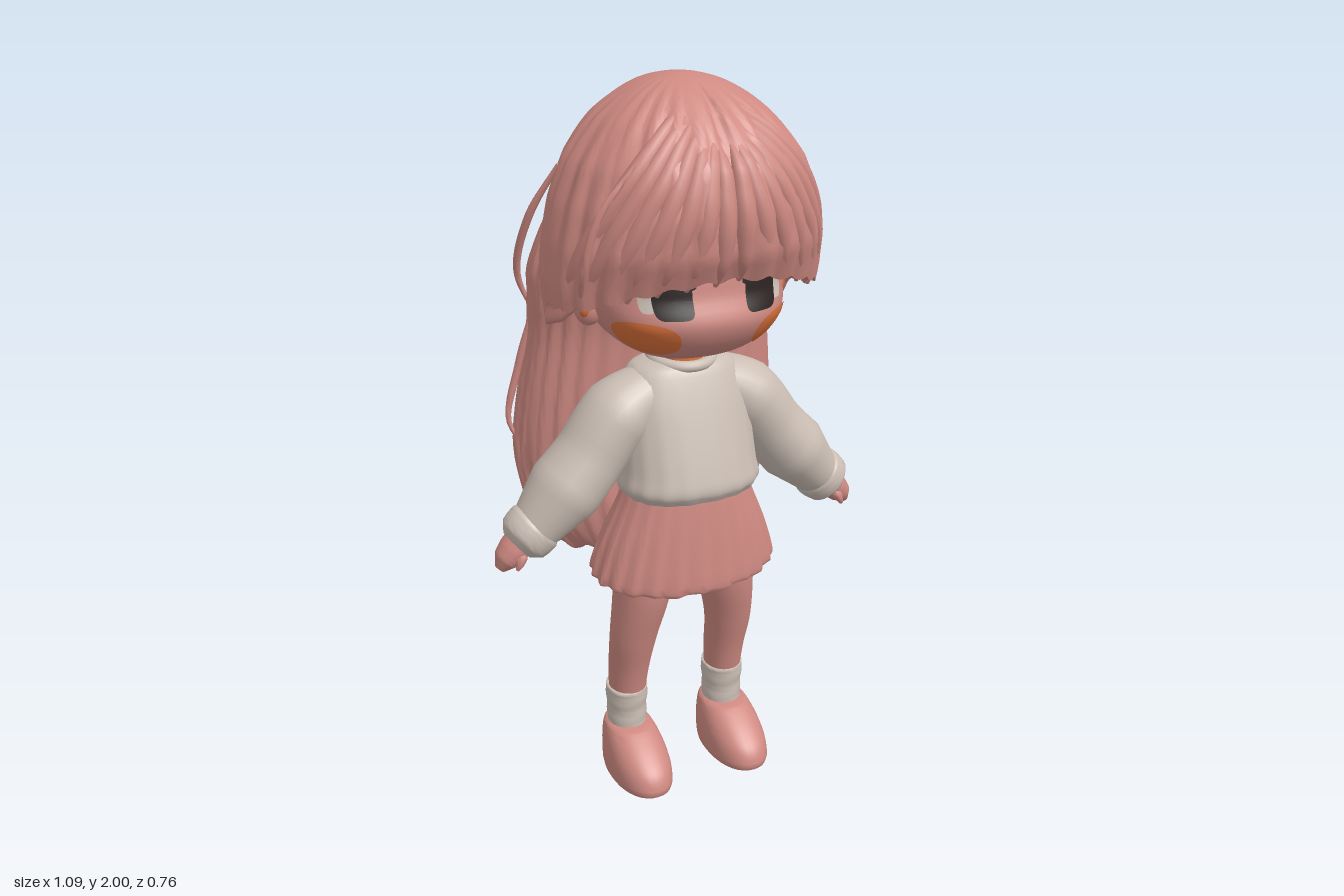
import * as THREE from 'three';
import { toCreasedNormals } from 'three/addons/utils/BufferGeometryUtils.js';

const mat = (name, color) => {
  const m = new THREE.MeshStandardMaterial({ color });
  m.name = name;
  return m;
};
const V = (x, y, z) => new THREE.Vector3(x, y, z);
const { lerp, smoothstep, degToRad } = THREE.MathUtils;

// Closed skin over a list of equal rings, with both ends filled
function skin(rings, crease = 0.9) {
  const n = rings[0].length, pos = [], idx = [];
  rings.forEach(r => r.forEach(p => pos.push(p.x, p.y, p.z)));
  for (let i = 0; i < rings.length - 1; i++) for (let j = 0; j < n; j++) {
    const a = i * n + j, b = i * n + (j + 1) % n;
    idx.push(a, b, a + n, b, b + n, a + n);
  }
  [0, rings.length - 1].forEach((i, end) => {
    const c = rings[i].reduce((s, p) => s.add(p), V(0, 0, 0)).divideScalar(n);
    const k = pos.length / 3;
    pos.push(c.x, c.y, c.z);
    for (let j = 0; j < n; j++) {
      const a = i * n + j, b = i * n + (j + 1) % n;
      idx.push(k, ...(end ? [a, b] : [b, a]));
    }
  });
  const g = new THREE.BufferGeometry();
  g.setAttribute('position', new THREE.Float32BufferAttribute(pos, 3));
  g.setIndex(idx);
  return toCreasedNormals(g, crease);
}

// Upright form from rows [y, centreX, halfWidth, zFront, zBack], top to bottom
function loft(rows, { seg = 32, steps = 24, power = 1, ridge = () => 1, lift = () => 0 } = {}) {
  const c1 = new THREE.CatmullRomCurve3(rows.map(r => V(r[0], r[1], r[2])), false, 'catmullrom');
  const c2 = new THREE.CatmullRomCurve3(rows.map(r => V(r[0], r[3], r[4])), false, 'catmullrom');
  const bend = v => Math.sign(v) * Math.abs(v) ** power;
  const rings = [];
  for (let i = 0; i <= steps; i++) {
    const t = i / steps, a = c1.getPoint(t), b = c2.getPoint(t), ring = [];
    for (let j = 0; j < seg; j++) {
      const th = j / seg * Math.PI * 2, k = ridge(th, t);
      ring.push(V(a.y + a.z * bend(Math.cos(th)) * k, a.x + lift(th, t), (b.y + b.z) / 2 + (b.y - b.z) / 2 * bend(Math.sin(th)) * k));
    }
    rings.push(ring);
  }
  return skin(rings);
}

// Tube with a changing radius along a path
function limb(points, radii, { seg = 16, steps = 20, zScale = 1 } = {}) {
  const curve = new THREE.CatmullRomCurve3(points), f = curve.computeFrenetFrames(steps);
  const rings = [];
  for (let i = 0; i <= steps; i++) {
    const t = i / steps, q = t * (radii.length - 1), k = Math.min(Math.floor(q), radii.length - 2);
    const r = lerp(radii[k], radii[k + 1], q - k), p = curve.getPointAt(t), ring = [];
    for (let j = 0; j < seg; j++) {
      const th = j / seg * Math.PI * 2;
      const d = f.normals[i].clone().multiplyScalar(Math.cos(th) * r).addScaledVector(f.binormals[i], Math.sin(th) * r);
      d.z *= zScale;
      ring.push(p.clone().add(d));
    }
    rings.push(ring);
  }
  return skin(rings);
}

// Head: rounded-square ellipsoid, chin pushed forward and eye line set back
const HEAD = { y: 1.52, z: 0.05, a: 0.27, b: 0.235, c: 0.25, n: 2.4 };
function headPoint(az, y, off = 0) {
  const { a, b, c, n } = HEAD, s = Math.sin(az), k = Math.cos(az);
  const dy = Math.min(1, Math.abs((y - HEAD.y) / b));
  const r = (1 - dy ** n) ** (1 / n) / ((Math.abs(s) / a) ** n + (Math.abs(k) / c) ** n) ** (1 / n) + off;
  return V(r * s, y, HEAD.z + r * k + (HEAD.y - y) * 0.15 - 0.03 * smoothstep(y, 1.4, 1.49));
}
function facePatch(azMid, azHalf, y, yHalf, power, off) {
  const g = new THREE.RingGeometry(0.001, 1, 40, 8), p = g.attributes.position;
  for (let i = 0; i < p.count; i++) {
    const u = p.getX(i), v = p.getY(i), r = Math.hypot(u, v);
    const k = r / (Math.abs(u) ** power + Math.abs(v) ** power) ** (1 / power);
    const q = headPoint(degToRad(azMid + azHalf * u * k), y + yHalf * v * k, off);
    p.setXYZ(i, q.x, q.y, q.z);
  }
  g.computeVertexNormals();
  return g;
}

// Hair cap rows: depth below the crown, reach to the side, front and back
const CAP = [[0, 0, 0, 0], [0.02, 0.1, 0.1, 0.13], [0.1, 0.22, 0.215, 0.24], [0.2, 0.295, 0.295, 0.295],
  [0.3, 0.335, 0.32, 0.325], [0.4, 0.358, 0.315, 0.333], [0.5, 0.368, 0.265, 0.328], [0.58, 0.36, 0.24, 0.31], [0.8, 0.34, 0.2, 0.28]];
function capPoint(th, y, off = 0) {
  const d = Math.max(0, 2 - y);
  let i = 0;
  while (i < CAP.length - 2 && CAP[i + 1][0] < d) i++;
  const A = CAP[i], B = CAP[i + 1];
  const t = (Math.sqrt(d) - Math.sqrt(A[0])) / (Math.sqrt(B[0]) - Math.sqrt(A[0]));
  const [w, f, b] = [1, 2, 3].map(k => lerp(A[k], B[k], t) + off);
  const c = Math.cos(th), s = Math.sin(th);
  return V(w * c, y, 0.05 + (s > 0 ? f * s ** 0.85 : b * s));
}
function rimHeight(th) {
  const s = Math.sin(th), c = Math.cos(th);
  return lerp(1.36, 1.535 - 0.09 * c * c, smoothstep(s, -0.3, -0.02)) + 0.006 * Math.sin(th * 26);
}
function hairCap() {
  const rings = [], seg = 240, steps = 36;
  const ring = fn => Array.from({ length: seg }, (_, j) => fn(j / seg * Math.PI * 2));
  for (let i = 0; i <= steps; i++) {
    const t = Math.max(i / steps, 0.02);
    rings.push(ring(th => {
      const y = 2 - (2 - rimHeight(th)) * t ** 1.7;
      const wave = 0.007 * Math.abs(Math.sin(th * 14 + 2 * t)) + 0.003 * Math.sin(th * 23 - 4 * t);
      const part = Math.sin(th) > 0 ? 0.02 * Math.exp(-((Math.cos(th) / 0.07) ** 2)) : 0;
      return capPoint(th, y, (wave - part) * Math.min(1, t * 2.5));
    }));
  }
  // underside turned inward, towards the head
  rings.push(ring(th => capPoint(th, rimHeight(th) + 0.005, -0.035)));
  rings.push(ring(th => capPoint(th, rimHeight(th) + 0.06, -0.12)));
  return skin(rings);
}

export function createModel() {
  const model = new THREE.Group();
  const pink = mat('dusty pink', 0xcf8a82), beige = mat('warm beige', 0xcbbeb4);
  const orange = mat('blush orange', 0xda703a), dark = mat('eye dark', 0x2b2322);
  const add = (name, geometry, material) => {
    const m = new THREE.Mesh(geometry, material);
    m.name = name;
    model.add(m);
  };

  // Head and neck
  const head = new THREE.SphereGeometry(1, 48, 40), hp = head.attributes.position;
  for (let i = 0; i < hp.count; i++) {
    const q = headPoint(Math.atan2(hp.getX(i), hp.getZ(i)), HEAD.y + HEAD.b * hp.getY(i));
    hp.setXYZ(i, q.x, q.y, q.z);
  }
  head.computeVertexNormals();
  add('head', head, pink);
  add('neck', new THREE.CylinderGeometry(0.06, 0.068, 0.14, 24).translate(0, 1.27, 0.06), orange);

  // Hair
  add('hairCap', hairCap(), pink);
  add('backHair', loft([[1.85, 0, 0.1, 0.03, -0.13], [1.7, 0, 0.26, 0.06, -0.245], [1.52, 0, 0.345, 0.05, -0.287], [1.42, 0, 0.352, 0.04, -0.295],
    [1.3, 0, 0.352, 0.01, -0.308], [1.1, 0, 0.378, -0.005, -0.35], [0.95, 0, 0.385, -0.015, -0.373], [0.8, 0, 0.358, -0.015, -0.365],
    [0.7, 0, 0.305, -0.035, -0.325], [0.66, 0, 0.25, -0.06, -0.285], [0.72, 0, 0.18, -0.09, -0.24]], {
    seg: 240, steps: 50, power: 0.95,
    ridge: (th, t) => 1 + 0.02 * Math.abs(Math.sin(th * 17 + 1.5 * t)) + 0.008 * Math.sin(th * 29 - 3 * t),
    lift: (th, t) => t > 0.75 ? 0.014 * Math.sin(th * 13) * (t - 0.75) * 4 : 0,
  }), pink);
  for (let i = 0; i < 25; i++) {
    const th = Math.PI * (1 + i / 24), c = Math.cos(th), s = Math.sin(th), tip = 0.665 + 0.02 * Math.sin(i * 2.3);
    add('hairTip', limb([V(0.35 * c, 1.0, -0.19 + 0.155 * s), V(0.335 * c, 0.82, -0.19 + 0.155 * s), V(0.28 * c, tip, -0.18 + 0.12 * s)],
      [0.006, 0.02, 0.025, 0.022, 0.008], { seg: 8, steps: 10 }), pink);
  }
  add('looseFringe', limb([V(-0.22, 1.82, 0.26), V(-0.31, 1.7, 0.25), V(-0.34, 1.56, 0.22), V(-0.32, 1.45, 0.15)],
    [0.006, 0.011, 0.011, 0.004], { seg: 8 }), pink);
  for (const s of [-1, 1]) {
    // fringe locks swept from the parting
    [5, 17, 29, 42, 55, 68, 82].forEach((deg, i) => {
      const pts = [];
      for (let k = 0; k <= 6; k++) {
        const t = k / 6, th = Math.PI / 2 - s * degToRad(lerp(4 + i * 2, deg, t ** 0.65));
        pts.push(capPoint(th, lerp(1.86 + i * 0.016, rimHeight(th) - 0.008, t), -0.013));
      }
      add('fringeLock', limb(pts, [0.006, 0.022, 0.027, 0.027, 0.022, 0.006], { seg: 10 }), pink);
    });
    // loose strands
    [[[0.3, 1.78, -0.03], [0.36, 1.64, -0.1], [0.375, 1.48, -0.17], [0.33, 1.36, -0.19]],
      [[0.33, 1.4, -0.16], [0.375, 1.2, -0.2], [0.405, 1.05, -0.21], [0.38, 0.98, -0.2]],
    ].forEach(p => add('looseStrand', limb(p.map(([x, y, z]) => V(s * x, y, z)), [0.006, 0.011, 0.011, 0.004], { seg: 8 }), pink));

    // Face
    add('eye', facePatch(s * 27.5, 11, 1.48, 0.047, 5, 0.004), dark);
    add('eyeWhite', facePatch(s * 42, 4, 1.478, 0.028, 4, 0.003), beige);
    add('upperLash', facePatch(s * 32, 18, 1.515, 0.015, 3, 0.007), dark);
    add('blush', facePatch(s * 50, 23, 1.378, 0.048, 2.4, 0.003), orange);
    add('ear', new THREE.SphereGeometry(1, 20, 14).scale(0.04, 0.05, 0.035).translate(s * 0.262, 1.43, 0.055), pink);
    add('innerEar', new THREE.SphereGeometry(1, 16, 12).scale(0.018, 0.028, 0.016).translate(s * 0.28, 1.435, 0.074), orange);

    // Arms
    add('sleeve', limb([[0.08, 1.195], [0.19, 1.125], [0.285, 1.005], [0.38, 0.9], [0.43, 0.845]].map(([x, y]) => V(s * x, y, 0.06)),
      [0.07, 0.098, 0.094, 0.1, 0.07], { seg: 24, zScale: 1.1 }), beige);
    add('cuff', limb([V(s * 0.415, 0.86, 0.06), V(s * 0.485, 0.8, 0.06)], [0.064, 0.078, 0.078, 0.074, 0.05], { seg: 24, steps: 12 }), beige);
    add('hand', limb([V(s * 0.45, 0.83, 0.055), V(s * 0.505, 0.775, 0.055), V(s * 0.535, 0.737, 0.055)],
      [0.036, 0.042, 0.04, 0.034, 0.014], { zScale: 1.25 }), pink);
    add('thumb', limb([V(s * 0.475, 0.8, 0.075), V(s * 0.49, 0.765, 0.1), V(s * 0.5, 0.745, 0.1)], [0.014, 0.016, 0.005], { seg: 10, steps: 8 }), pink);

    // Legs, socks and shoes
    add('leg', loft([[0.78, s * 0.12, 0.085, 0.17, -0.03], [0.6, s * 0.13, 0.08, 0.167, -0.018], [0.45, s * 0.15, 0.068, 0.13, -0.012],
      [0.33, s * 0.154, 0.058, 0.095, -0.035], [0.2, s * 0.156, 0.05, 0.068, -0.044]], { seg: 28 }), pink);
    add('sock', loft([[0.26, s * 0.156, 0.048, 0.07, -0.042], [0.252, s * 0.156, 0.06, 0.082, -0.052], [0.18, s * 0.156, 0.057, 0.077, -0.05],
      [0.1, s * 0.156, 0.059, 0.082, -0.054]], { seg: 28, ridge: (th, t) => 1 + 0.02 * Math.sin(t * 28 + Math.sin(th * 2)) }), beige);
    add('shoe', loft([[0.142, s * 0.156, 0.05, 0.1, -0.045], [0.135, s * 0.156, 0.066, 0.118, -0.06], [0.1, s * 0.156, 0.079, 0.175, -0.066],
      [0.06, s * 0.156, 0.085, 0.222, -0.067], [0.02, s * 0.156, 0.086, 0.24, -0.065], [0, s * 0.156, 0.083, 0.236, -0.06]],
    { seg: 36, power: 0.9 }), pink);
  }

  // Sweater with a collar, higher at the back, and a gathered hem
  add('sweater', loft([[1.268, 0, 0.085, 0.115, -0.015], [1.262, 0, 0.11, 0.13, -0.028], [1.24, 0, 0.15, 0.147, -0.04], [1.17, 0, 0.18, 0.175, -0.048],
    [1.08, 0, 0.185, 0.205, -0.05], [0.98, 0, 0.19, 0.235, -0.05], [0.93, 0, 0.198, 0.245, -0.055], [0.9, 0, 0.18, 0.23, -0.045]], {
    seg: 72, steps: 32, power: 0.85, ridge: (th, t) => 1 + 0.014 * t * t * Math.sin(th * 18),
  }), beige);
  add('collar', new THREE.TorusGeometry(0.082, 0.016, 12, 40).rotateX(Math.PI / 2 + 0.12).translate(0, 1.264, 0.055), beige);

  // Hips and pleated skirt, open underneath, hem rising to the sides and back
  add('hips', new THREE.SphereGeometry(1, 28, 18).scale(0.185, 0.12, 0.115).translate(0, 0.79, 0.065), pink);
  add('skirt', loft([[0.95, 0, 0.165, 0.2, -0.04], [0.88, 0, 0.19, 0.212, -0.055], [0.76, 0, 0.235, 0.225, -0.08], [0.638, 0, 0.268, 0.233, -0.1],
    [0.646, 0, 0.25, 0.217, -0.085], [0.78, 0, 0.21, 0.2, -0.055]], {
    seg: 144, steps: 25, power: 0.95, ridge: (th, t) => 1 + 0.035 * t * Math.sin(th * 24 + 0.6 * Math.sin(th * 24)),
    lift: (th, t) => 0.028 * (1 - Math.sin(th)) * smoothstep(t, 0.2, 0.6) + 0.004 * t * Math.sin(th * 12),
  }), pink);
  return model;
}
